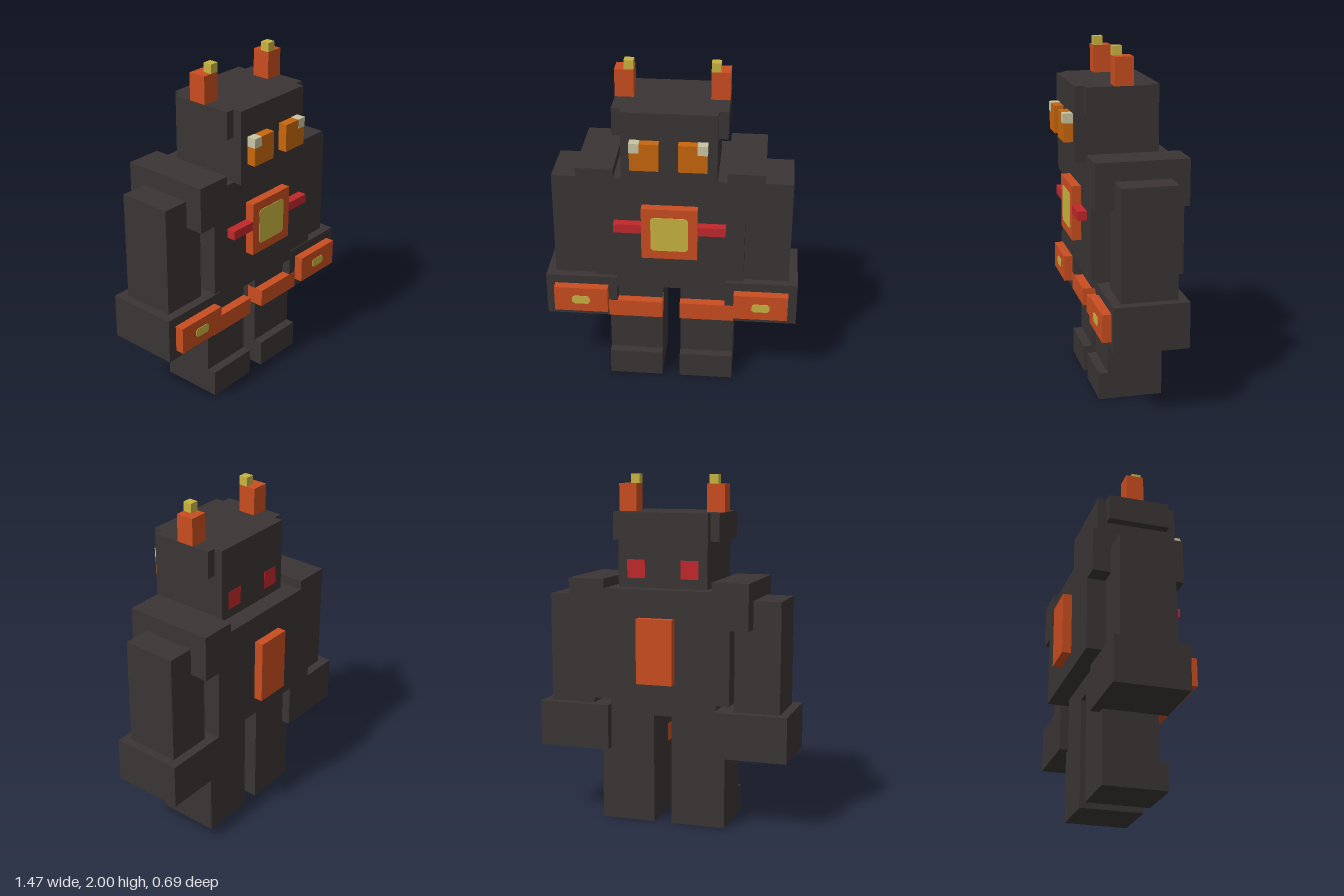
import * as THREE from 'three';

const U = 2 / 38; // one block of the grid the robot is designed on

const mat = (name, color) => {
  const m = new THREE.MeshStandardMaterial({ color });
  m.name = name;
  return m;
};

export function createModel() {
  const robot = new THREE.Group();
  robot.name = 'blockRobot';

  const dark = mat('charcoal', 0x3b3535);
  const orange = mat('orange', 0xc94d20);
  const red = mat('red', 0xc0282c);
  const amber = mat('amber', 0xc8660c);
  const yellow = mat('yellow', 0xc8b440);
  const cream = mat('cream', 0xcac6a2);

  // Box from its min/max extents in blocks
  const box = (name, material, [x0, x1], [y0, y1], [z0, z1]) => {
    const g = new THREE.BoxGeometry(Math.abs(x1 - x0) * U, (y1 - y0) * U, (z1 - z0) * U);
    const mesh = new THREE.Mesh(g, material);
    mesh.position.set((x0 + x1) / 2 * U, (y0 + y1) / 2 * U, (z0 + z1) / 2 * U);
    mesh.name = name;
    robot.add(mesh);
    return mesh;
  };

  // Thin front-facing plate with clipped corners
  const light = (name, cx, cy, w, h, z) => {
    const a = w / 2, b = h / 2, c = 0.25;
    const pts = [[a - c, -b], [a, c - b], [a, b - c], [a - c, b], [c - a, b], [-a, b - c], [-a, c - b], [c - a, -b]];
    const shape = new THREE.Shape(pts.map(([x, y]) => new THREE.Vector2(x * U, y * U)));
    const g = new THREE.ExtrudeGeometry(shape, { depth: 0.003, bevelEnabled: false });
    const mesh = new THREE.Mesh(g, yellow);
    mesh.position.set(cx * U, cy * U, z * U);
    mesh.name = name;
    robot.add(mesh);
  };

  // Central parts
  box('head', dark, [-5, 5], [26, 34], [-3.5, 5.5]);
  box('torso', dark, [-8, 8], [14, 26], [-5.5, 4.5]);
  box('pelvis', dark, [-6, 6], [12, 14], [-3.5, 3.5]);
  box('chestFrame', orange, [-3, 3], [17, 23], [4.5, 5.5]);
  light('chestCore', 0, 20, 4, 4, 5.5);
  box('backPlate', orange, [-2, 2], [16, 23], [-6.5, -5.5]);

  // Mirrored parts
  for (const s of [1, -1]) {
    const side = s > 0 ? 'left' : 'right';
    const pair = (name, material, [x0, x1], y, z) => box(side + name, material, [s * x0, s * x1], y, z);

    // Head details
    pair('Ear', dark, [5, 6], [31, 34], [-2.5, 4.5]);
    pair('Horn', orange, [4, 6], [34, 37], [-0.5, 1.5]);
    pair('HornTip', yellow, [4, 5], [37, 38], [0.5, 1.5]);
    pair('Eye', amber, [1, 4], [28, 31], [5.5, 6.5]);
    pair('EyeGlint', cream, [3, 4.04], [30, 31.04], [5.5, 6.54]);
    pair('NeckVent', red, [2, 4], [27, 29], [-3.53, -3.45]);

    // Chest bars
    pair('ChestBar', red, [3, 6], [20, 21], [4.5, 5.5]);

    // Arms
    pair('Shoulder', dark, [6, 10], [22, 27], [-5.5, 4.5]);
    pair('UpperArm', dark, [8, 13], [13, 25], [-3.5, 2.5]);
    pair('Forearm', dark, [6, 14], [8, 13], [-4.5, 3.5]);
    pair('ForearmPanel', orange, [7, 13], [9, 12], [3.5, 4.5]);
    light(side + 'ForearmLight', s * 10, 10.5, 2, 1, 4.5);

    // Legs
    pair('Leg', dark, [1, 7], [0, 12], [-3.5, 2.5]);
    pair('Toe', dark, [1, 7], [0, 3], [2.5, 3.5]);
    pair('KneePad', orange, [0.97, 7], [8, 10], [1.5, 3.54]);
  }
  return robot;
}
